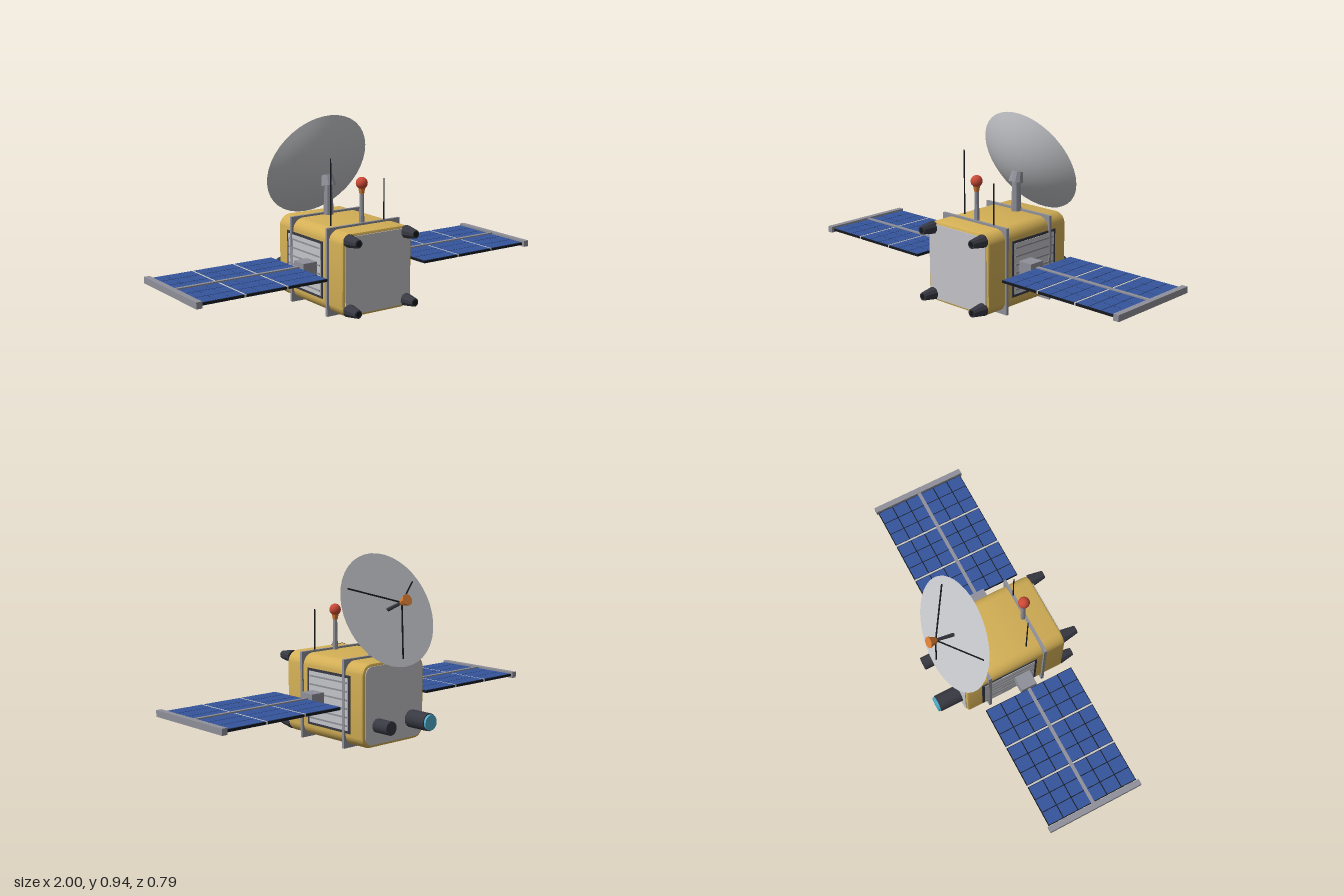
import * as THREE from 'three';
import { toCreasedNormals } from 'three/addons/utils/BufferGeometryUtils.js';

const paint = (name, color) => {
  const m = new THREE.MeshStandardMaterial({ color });
  m.name = name;
  return m;
};

export function createModel() {
  const gold = paint('gold foil', 0xd4b056);
  const light = paint('light grey', 0xc4c5c9);
  const metal = paint('metal grey', 0x8f9099);
  const dark = paint('dark grey', 0x383942);
  const black = paint('black', 0x17181c);
  const blue = paint('solar blue', 0x35559c);
  const orange = paint('orange', 0xd67a32);
  const red = paint('red', 0xcb4a36);
  const cyan = paint('lens cyan', 0x4fb2cf);

  const model = new THREE.Group();
  model.name = 'satellite';
  const CY = 0.225; // height of the body's centre

  const add = (parent, name, geo, mat, x = 0, y = 0, z = 0) => {
    const mesh = new THREE.Mesh(geo, mat);
    mesh.name = name;
    mesh.position.set(x, y, z);
    parent.add(mesh);
    return mesh;
  };
  const group = (parent, name, x = 0, y = 0, z = 0) => {
    const g = new THREE.Group();
    g.name = name;
    g.position.set(x, y, z);
    parent.add(g);
    return g;
  };
  const box = (w, h, d) => new THREE.BoxGeometry(w, h, d);
  // Faceted cylinder or cone, top radius first
  const facet = (rt, rb, h, n = 8) => toCreasedNormals(new THREE.CylinderGeometry(rt, rb, h, n), 0.2);
  // Thin rod between two points
  const rod = (parent, name, a, b, r, mat) => {
    const d = b.clone().sub(a);
    const mesh = add(parent, name, new THREE.CylinderGeometry(r, r, d.length(), 8), mat);
    mesh.position.copy(a).addScaledVector(d, 0.5);
    mesh.quaternion.setFromUnitVectors(new THREE.Vector3(0, 1, 0), d.normalize());
  };
  const roundedSquare = (h, r) => {
    const s = new THREE.Shape();
    s.absarc(h - r, h - r, r, 0, Math.PI / 2);
    s.absarc(r - h, h - r, r, Math.PI / 2, Math.PI);
    s.absarc(r - h, r - h, r, Math.PI, Math.PI * 1.5);
    s.absarc(h - r, r - h, r, Math.PI * 1.5, Math.PI * 2);
    s.closePath();
    return s;
  };

  // Body with softened ends
  const bodyGeo = new THREE.ExtrudeGeometry(roundedSquare(0.195, 0.045), {
    depth: 0.535, bevelSize: 0.015, bevelThickness: 0.015, bevelSegments: 2, curveSegments: 6,
  });
  add(model, 'body', toCreasedNormals(bodyGeo, 0.6), gold, 0, CY, -0.235);

  // End plates
  const plateGeo = new THREE.ExtrudeGeometry(roundedSquare(0.194, 0.045), {
    depth: 0.007, bevelEnabled: false, curveSegments: 6,
  });
  add(model, 'frontPlate', plateGeo, light, 0, CY, 0.313);
  add(model, 'backPlate', plateGeo, light, 0, CY, -0.254);

  // Square frames around the body
  for (const z of [0.193, -0.121]) add(model, 'frame', box(0.44, 0.442, 0.015), metal, 0, CY - 0.001, z);

  // Front thrusters
  const thrusterGeo = facet(0.021, 0.034, 0.08, 10).rotateX(Math.PI / 2);
  for (const x of [-0.172, 0.172])
    for (const y of [0.055, 0.4]) {
      add(model, 'thruster', thrusterGeo, dark, x, y, 0.354);
      add(model, 'thrusterOpening', new THREE.CircleGeometry(0.015, 10), black, x, y, 0.3945);
    }

  // Rear instruments
  const tube = (r, h) => new THREE.CylinderGeometry(r, r, h, 16).rotateX(Math.PI / 2);
  add(model, 'telescope', tube(0.045, 0.14), dark, -0.118, 0.125, -0.31);
  add(model, 'telescopeLens', tube(0.04, 0.014), cyan, -0.118, 0.125, -0.385);
  add(model, 'sensor', tube(0.035, 0.11), dark, 0.114, 0.125, -0.295);

  // Each side: radiator and solar wing
  for (const s of [1, -1]) {
    const radiator = group(model, s > 0 ? 'leftRadiator' : 'rightRadiator', 0, CY, -0.007);
    add(radiator, 'radiatorFrame', box(0.012, 0.288, 0.315), dark, s * 0.208, 0, 0);
    add(radiator, 'radiatorPanel', box(0.004, 0.262, 0.288), light, s * 0.2145, 0, 0);
    for (let i = 0; i < 6; i++)
      add(radiator, 'radiatorSlat', box(0.003, 0.008, 0.278), metal, s * 0.217, -0.107 + i * 0.0428, 0);

    const wing = group(model, s > 0 ? 'leftWing' : 'rightWing', 0, CY, 0.062);
    add(wing, 'wingHinge', box(0.09, 0.068, 0.086), metal, s * 0.251, 0.002, 0.003);
    add(wing, 'wingBeam', box(0.69, 0.024, 0.018), metal, s * 0.635, 0.002, 0);
    add(wing, 'wingEndBar', box(0.03, 0.032, 0.518), metal, s * 0.985, 0, 0.002);
    for (let k = 0; k < 3; k++) {
      const cx = 0.404 + k * 0.2265;
      add(wing, 'wingPanel', box(0.217, 0.012, 0.5), black, s * cx, 0, 0);
      if (k < 2) add(wing, 'wingDivider', box(0.0095, 0.014, 0.5), light, s * (cx + 0.11325), 0, 0);
      for (let i = 0; i < 3; i++)
        for (let j = 0; j < 6; j++)
          add(wing, 'solarCell', box(0.068, 0.016, 0.078), blue,
            s * (cx + (i - 1) * 0.072), 0, (j - 2.5) * 0.083);
    }
  }

  // Beacon on a mast
  add(model, 'beaconMast', facet(0.01, 0.014, 0.17), metal, 0, 0.515, 0.181);
  add(model, 'beaconSocket', facet(0.019, 0.012, 0.034), orange, 0, 0.606, 0.181);
  add(model, 'beacon', new THREE.SphereGeometry(0.03, 14, 10), red, 0, 0.641, 0.181);

  // Whip antennas
  const whip = (h, x, z) => add(model, 'whipAntenna', facet(0.003, 0.004, h, 6), black, x, 0.43 + h / 2, z);
  whip(0.337, -0.144, 0.122);
  whip(0.223, 0.128, 0.193);

  // Dish mount
  add(model, 'dishMast', facet(0.02, 0.027, 0.17), metal, 0, 0.515, -0.105);
  add(model, 'dishMountHead', facet(0.029, 0.039, 0.055, 10), metal, 0, 0.612, -0.109).rotation.x = -0.26;

  // Dish, aimed up and back, with its rim in the group's local y = 0 plane
  const dish = group(model, 'dish', 0, 0.678, -0.2075);
  dish.rotation.x = -1.141;
  const R = 0.294, profile = [];
  for (let i = 0; i <= 10; i++) {
    const t = i / 10;
    profile.push(new THREE.Vector2(R * t, -0.09 * (1 - t * t)));
  }
  add(dish, 'dishShell', new THREE.LatheGeometry(profile, 40), light);
  add(dish, 'dishFace', new THREE.CircleGeometry(R, 40).rotateX(-Math.PI / 2), light);
  add(dish, 'feedBoom', facet(0.008, 0.01, 0.11), dark, 0, 0.052, 0);
  add(dish, 'feedHorn', facet(0.03, 0.015, 0.044), orange, 0, 0.124, 0);
  for (let i = 0; i < 3; i++) {
    const a = Math.PI + i * Math.PI * 2 / 3;
    rod(dish, 'feedStrut', new THREE.Vector3(Math.sin(a) * 0.253, 0, Math.cos(a) * 0.253),
      new THREE.Vector3(0, 0.104, 0), 0.004, black);
  }
  return model;
}
